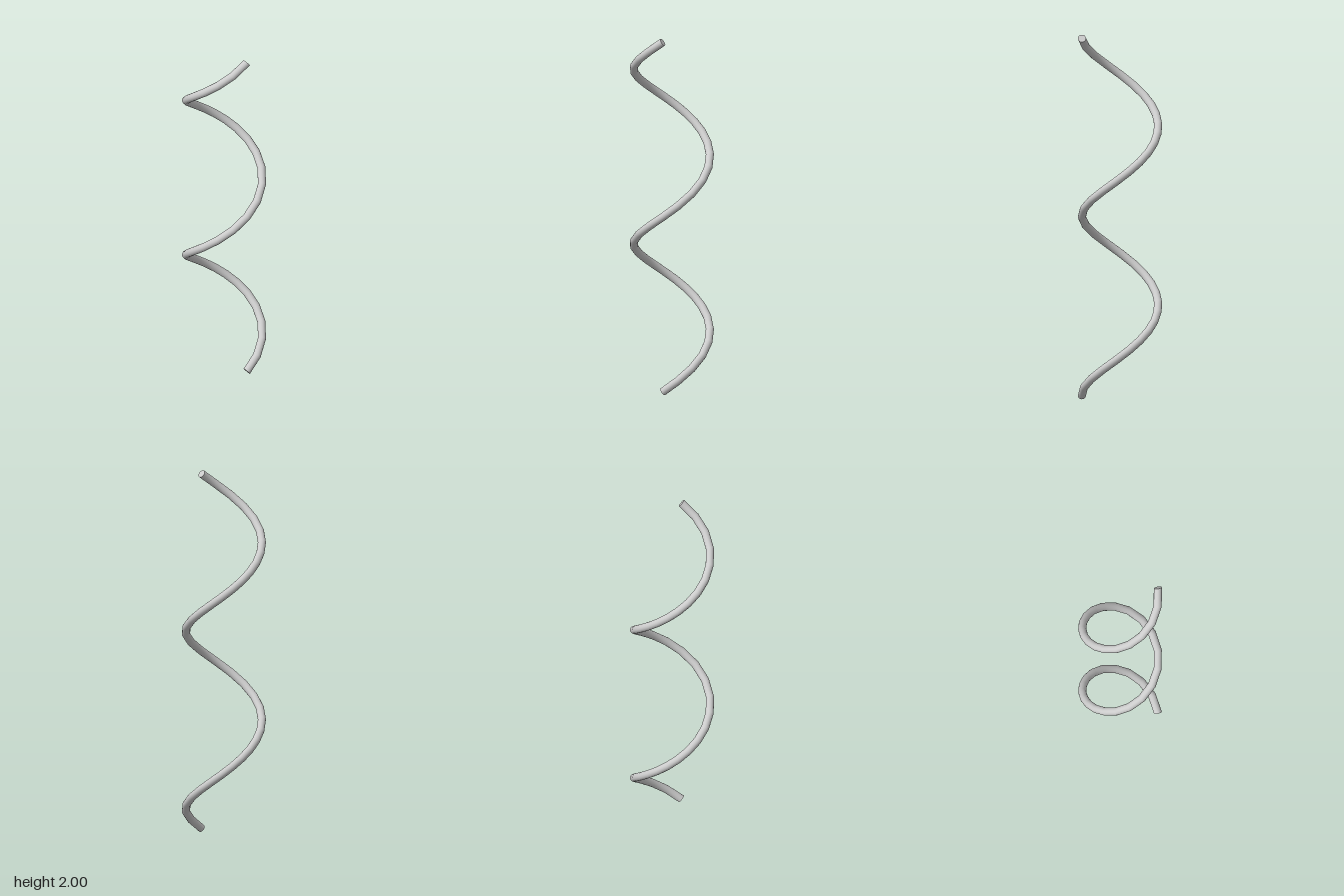
import * as THREE from 'three';

const TURNS = 2, STEPS_PER_TURN = 19, SIDES = 16;
const COIL_RADIUS = 0.206, WIRE_RADIUS = 0.022;
const Y0 = 0.017, Y1 = 1.983;

// Rising coil; its rings are spaced wider near +x and closer near -x
class Coil extends THREE.Curve {
  getUtoTmapping(u) { return u; }
  getPoint(t, target = new THREE.Vector3()) {
    const phi = t * TURNS * Math.PI * 2;
    const a = phi + 0.21 * Math.sin(phi);
    const y = Y0 + (Y1 - Y0) * a / (TURNS * Math.PI * 2);
    return target.set(COIL_RADIUS * Math.cos(a), y, -COIL_RADIUS * Math.sin(a));
  }
}

export function createModel() {
  const group = new THREE.Group();
  group.name = 'spiral';
  const material = new THREE.MeshStandardMaterial({ color: 0xcccccc });
  const coil = new Coil();

  // Round wire following the coil
  const wire = new THREE.Mesh(
    new THREE.TubeGeometry(coil, TURNS * STEPS_PER_TURN, WIRE_RADIUS, SIDES, false), material);
  wire.name = 'coilWire';
  group.add(wire);

  // Flat discs closing both ends
  for (const [name, t, sign] of [['bottomEnd', 0, -1], ['topEnd', 1, 1]]) {
    const cap = new THREE.Mesh(new THREE.CircleGeometry(WIRE_RADIUS, SIDES), material);
    cap.name = name;
    cap.position.copy(coil.getPoint(t));
    const outward = coil.getTangent(t).multiplyScalar(sign);
    cap.quaternion.setFromUnitVectors(new THREE.Vector3(0, 0, 1), outward);
    group.add(cap);
  }
  return group;
}
